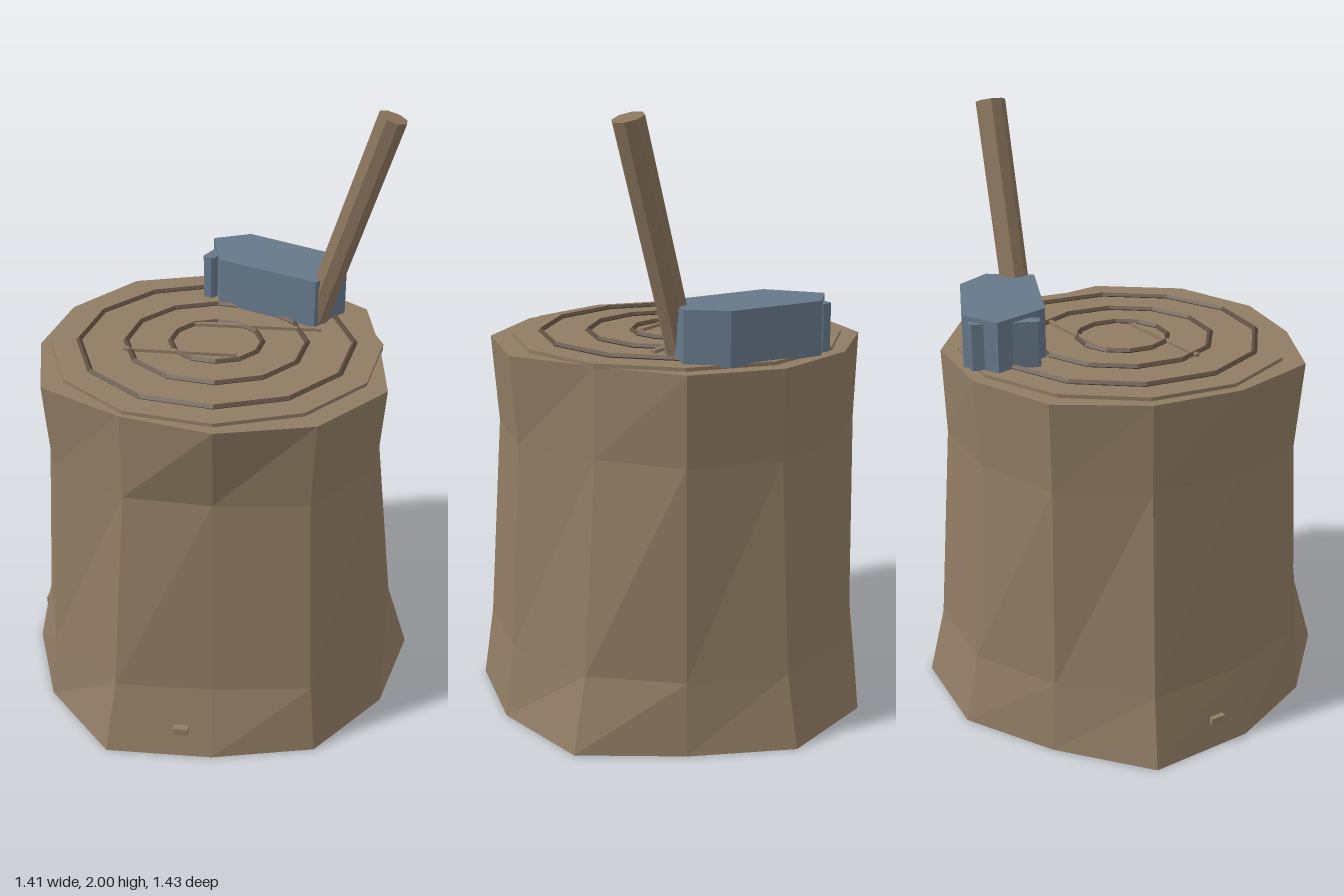
import * as THREE from 'three';

const CX = 0.015, CZ = -0.005, SIDES = 12;

function material(name, color) {
  const m = new THREE.MeshStandardMaterial({ color, flatShading: true });
  m.name = name;
  return m;
}

// Irregular twelve-sided trunk: one list of corner radii per level, from +x towards +z
const LEVELS = [
  [0, [0.685, 0.695, 0.65, 0.72, 0.667, 0.663, 0.722, 0.646, 0.69, 0.71, 0.645, 0.717]],
  [0.24, [0.652, 0.66, 0.584, 0.653, 0.644, 0.615, 0.666, 0.62, 0.64, 0.655, 0.62, 0.64]],
  [0.94, [0.61, 0.612, 0.54, 0.574, 0.612, 0.58, 0.597, 0.61, 0.59, 0.605, 0.6, 0.56]],
  [1.235, [0.633, 0.633, 0.6, 0.577, 0.638, 0.594, 0.597, 0.62, 0.605, 0.615, 0.61, 0.55]],
];

function trunkGeometry() {
  const pos = [], index = [];
  for (const [y, radii] of LEVELS) {
    radii.forEach((r, i) => {
      const a = (i / SIDES) * Math.PI * 2;
      pos.push(CX + r * Math.cos(a), y, CZ + r * Math.sin(a));
    });
  }
  const topRow = (LEVELS.length - 1) * SIDES;
  const bottom = pos.length / 3, top = bottom + 1;
  pos.push(CX, 0, CZ, CX, 1.235, CZ);
  for (let i = 0; i < SIDES; i++) {
    const j = (i + 1) % SIDES;
    for (let row = 0; row < topRow; row += SIDES) {
      const up = row + SIDES;
      index.push(row + j, row + i, up + i, row + j, up + i, up + j);
    }
    index.push(bottom, i, j, top, topRow + j, topRow + i);
  }
  const g = new THREE.BufferGeometry();
  g.setAttribute('position', new THREE.Float32BufferAttribute(pos, 3));
  g.setIndex(index);
  const flat = g.toNonIndexed();
  flat.computeVertexNormals();
  return flat;
}

// Upright prism from an [x, z] outline
function prism(points, y, height) {
  const shape = new THREE.Shape(points.map(([x, z]) => new THREE.Vector2(x, -z)));
  return new THREE.ExtrudeGeometry(shape, { depth: height, bevelEnabled: false })
    .rotateX(-Math.PI / 2).translate(0, y, 0);
}

export function createModel() {
  const group = new THREE.Group();
  const wood = material('wood', 0x907c64);
  const grain = material('dark grain', 0x5c4c3e);
  const handleWood = material('handle wood', 0x8a745d);
  const steel = material('blue steel', 0x66788a);

  function add(name, geometry, mat) {
    const mesh = new THREE.Mesh(geometry, mat);
    mesh.name = name;
    group.add(mesh);
    return mesh;
  }

  // Stump and its slightly raised cut face
  add('trunk', trunkGeometry(), wood);
  add('cutFace', new THREE.CylinderGeometry(0.56, 0.56, 0.02, SIDES).translate(CX, 1.237, CZ), wood);

  // Growth rings
  for (const r of [0.155, 0.305, 0.464]) {
    const ring = add('growthRing', new THREE.TorusGeometry(r, 0.01, 4, SIDES), grain);
    ring.rotation.x = Math.PI / 2;
    ring.position.set(CX, 1.251, CZ);
  }

  // Raised splits across the cut face: x, z at each end
  for (const [x1, z1, x2, z2] of [[-0.13, -0.075, 0.275, -0.268], [-0.217, 0.207, 0.125, 0.05]]) {
    const split = add('split', new THREE.BoxGeometry(Math.hypot(x2 - x1, z2 - z1), 0.012, 0.016), wood);
    split.position.set((x1 + x2) / 2, 1.252, (z1 + z2) / 2);
    split.rotation.y = -Math.atan2(z2 - z1, x2 - x1);
  }

  // Small bark chips near the foot
  for (const [x, z] of [[0.235, 0.585], [-0.588, 0.215]]) {
    const chip = add('barkChip', new THREE.BoxGeometry(0.05, 0.025, 0.03), wood);
    chip.position.set(x, 0.095, z);
    chip.rotation.y = Math.atan2(x, z);
  }

  // Axe head, lying on the cut face
  add('axeHead', prism([
    [-0.265, -0.445], [-0.17, -0.552], [0.165, -0.54], [0.275, -0.445],
    [0.262, -0.4], [0.24, -0.28], [-0.14, -0.282],
  ], 1.24, 0.175), steel);

  // Narrow plate crossing the head, with chamfered ends
  const w = 0.022, c = 0.008;
  add('axeCheek', prism([
    [-0.206 - w, -0.525], [-0.206 - w + c, -0.533], [-0.206 + w - c, -0.533], [-0.206 + w, -0.525],
    [-0.206 + w, -0.315], [-0.206 + w - c, -0.306], [-0.206 - w + c, -0.306], [-0.206 - w, -0.315],
  ], 1.245, 0.155), steel);

  // Leaning handle
  const foot = new THREE.Vector3(0.205, 1.235, -0.335);
  const tip = new THREE.Vector3(0.433, 1.985, -0.397);
  const dir = tip.clone().sub(foot);
  const handle = add('handle', new THREE.CylinderGeometry(0.051, 0.049, dir.length(), 8), handleWood);
  handle.position.copy(foot).add(tip).multiplyScalar(0.5);
  handle.quaternion.setFromUnitVectors(new THREE.Vector3(0, 1, 0), dir.normalize());

  return group;
}
